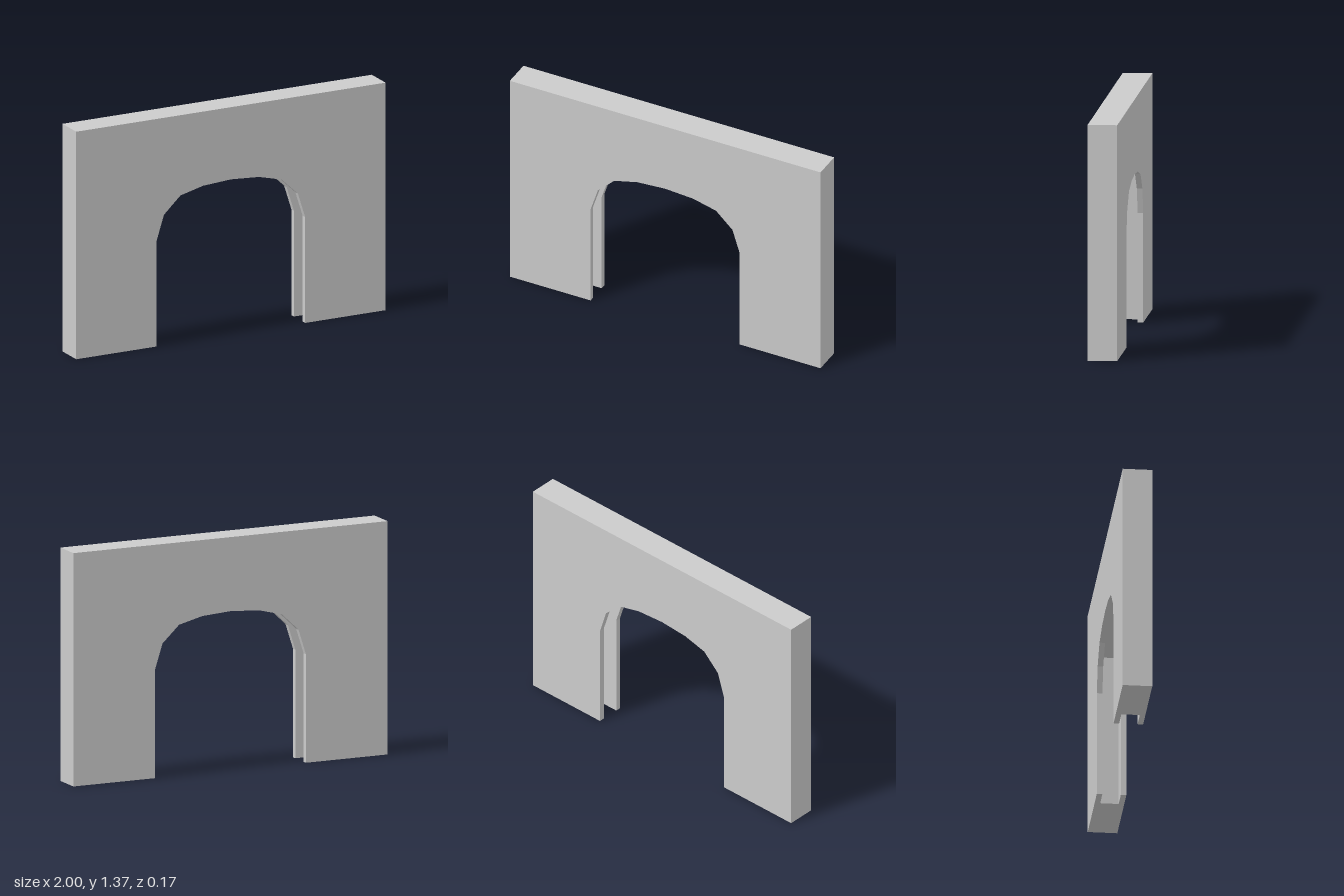
import * as THREE from 'three';
import { mergeGeometries } from 'three/addons/utils/BufferGeometryUtils.js';

const H = 1.365;       // wall height
const Z = 0.085;       // half thickness of the wall
const G = 0.053;       // half width of the door groove
const GX = 0.605;      // groove reach to each side
const GY = 0.92;       // groove ceiling

// right half of the arch, from crown shoulder down to the floor
const halfArch = [[0.18, GY], [0.327, 0.883], [0.433, 0.783], [0.48, 0.635], [0.48, 0]];
const mirror = (pts) => pts.map(([x, y]) => [-x, y]).reverse();
const crown = [[0, 0.932]];

// closed outlines, counter-clockwise seen from the front
const corners = [[1, 0], [1, H], [-1, H], [-1, 0]];
const plateOutline = [...corners, ...mirror(halfArch), ...crown, ...halfArch];
const halfGroove = [[0.18, GY], [GX, GY], [GX, 0]];
const coreOutline = [...corners, ...mirror(halfGroove), ...crown, ...halfGroove];
const cheekOutline = [...halfArch, [GX, 0], [GX, GY]];

// flat face at depth z, facing +z or (back = true) -z
function face(points, z, back = false) {
  const shape = new THREE.Shape(points.map(([x, y]) => new THREE.Vector2(x, y)));
  const geo = new THREE.ShapeGeometry(shape);
  if (back) geo.rotateY(Math.PI); // outlines used here are paired with their mirror image
  geo.translate(0, 0, z);
  const flat = geo.toNonIndexed();
  flat.deleteAttribute('uv');
  return flat;
}

// wall following a closed outline between two depths
function band(points, z0, z1) {
  const pos = [];
  points.forEach(([ax, ay], i) => {
    const [bx, by] = points[(i + 1) % points.length];
    pos.push(ax, ay, z0, bx, by, z0, bx, by, z1, ax, ay, z0, bx, by, z1, ax, ay, z1);
  });
  const geo = new THREE.BufferGeometry();
  geo.setAttribute('position', new THREE.Float32BufferAttribute(pos, 3));
  geo.computeVertexNormals();
  return geo;
}

export function createModel() {
  const group = new THREE.Group();
  group.name = 'archedWall';
  const material = new THREE.MeshStandardMaterial({ color: 0xcccccc, flatShading: true });
  const add = (name, parts) => {
    const mesh = new THREE.Mesh(mergeGeometries(parts), material);
    mesh.name = name;
    group.add(mesh);
  };

  // front and back plates with the arch opening and the groove cheeks
  const cheeks = [cheekOutline, mirror(cheekOutline)];
  add('frontPlate', [
    face(plateOutline, Z),
    band(plateOutline, G, Z),
    ...cheeks.map((c) => face(c, G, true)),
  ]);
  add('backPlate', [
    face(plateOutline, -Z, true),
    band(plateOutline, -Z, -G),
    ...cheeks.map((c) => face(c, -G)),
  ]);

  // middle layer, cut wider to leave the groove for a sliding door
  add('grooveCore', [band(coreOutline, -G, G)]);
  return group;
}
